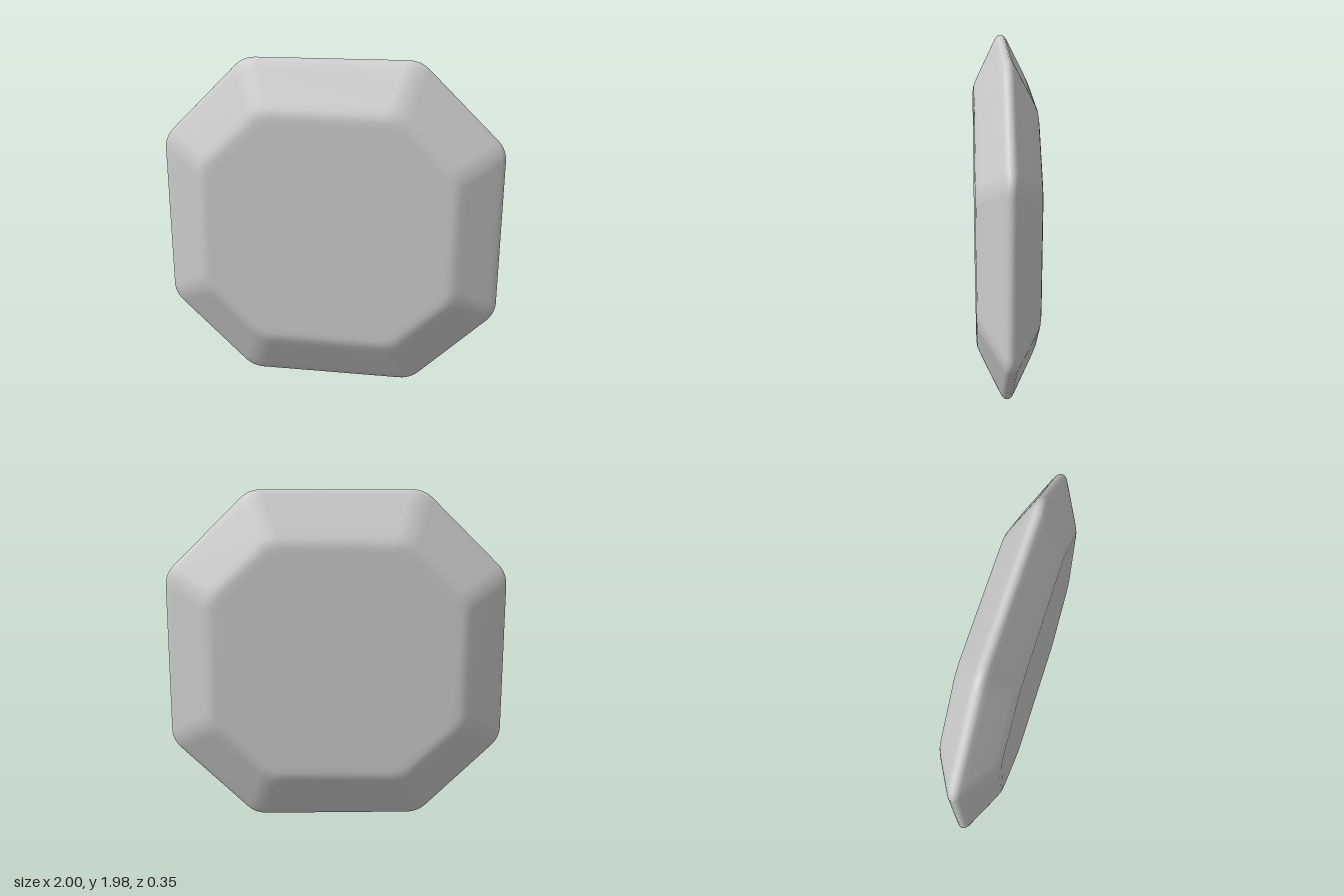
import * as THREE from 'three';

const CENTER_Y = 0.9975;

// Octagon with softened corners; s = 0 is the outer rim, s = 1 the flat face
function octagonRing(s) {
  const mix = (a, b) => a + (b - a) * s;
  const hx = mix(1, 0.715), hy = mix(0.9875, 0.665);
  const cx = mix(0.505, 0.39), cy = mix(0.505, 0.35);
  const corners = [[hx, -cy], [hx, cy], [cx, hy], [-cx, hy], [-hx, cy], [-hx, -cy], [-cx, -hy], [cx, -hy]]
    .map(([x, y]) => new THREE.Vector2(x, y));
  const cut = 0.07, steps = 6, ring = [];
  corners.forEach((p, i) => {
    const toward = (q) => p.clone().add(q.clone().sub(p).setLength(cut));
    const curve = new THREE.QuadraticBezierCurve(toward(corners[(i + 7) % 8]), p, toward(corners[(i + 1) % 8]));
    ring.push(...curve.getPoints(steps));
  });
  return ring;
}

// Lofts the rings from the front face over the rim to the back face
function bevelledOctagon() {
  // Half profile: horizontal reach and depth, from the face to the rim
  const half = [[0.68, 0.173], [0.715, 0.173], [0.742, 0.168], [0.765, 0.157], [0.795, 0.141],
    [0.95, 0.051], [0.98, 0.033], [0.992, 0.022], [0.998, 0.011]];
  const profile = [...half, [1, 0], ...half.slice().reverse().map(([r, z]) => [r, -z])];
  const positions = [], index = [];
  let n = 0;
  for (const [reach, z] of profile) {
    const ring = octagonRing((1 - reach) / 0.285);
    n = ring.length;
    for (const p of ring) positions.push(p.x, p.y, z);
  }
  for (let i = 0; i < profile.length - 1; i++) {
    for (let j = 0; j < n; j++) {
      const k = (j + 1) % n;
      const a = i * n + j, b = i * n + k, c = a + n, d = b + n;
      index.push(a, c, d, a, d, b);
    }
  }
  // Flat front and back faces
  const front = positions.length / 3, back = front + 1, last = (profile.length - 1) * n;
  positions.push(0, 0, half[0][1], 0, 0, -half[0][1]);
  for (let j = 0; j < n; j++) {
    const k = (j + 1) % n;
    index.push(front, j, k, back, last + k, last + j);
  }
  const geometry = new THREE.BufferGeometry();
  geometry.setAttribute('position', new THREE.Float32BufferAttribute(positions, 3));
  geometry.setIndex(index);
  geometry.computeVertexNormals();
  return geometry;
}

export function createModel() {
  const group = new THREE.Group();
  group.name = 'octagonalGem';
  const gem = new THREE.Mesh(bevelledOctagon(), new THREE.MeshStandardMaterial({ color: 0xcccccc }));
  gem.name = 'bevelledOctagonBody';
  gem.position.y = CENTER_Y;
  group.add(gem);
  return group;
}
